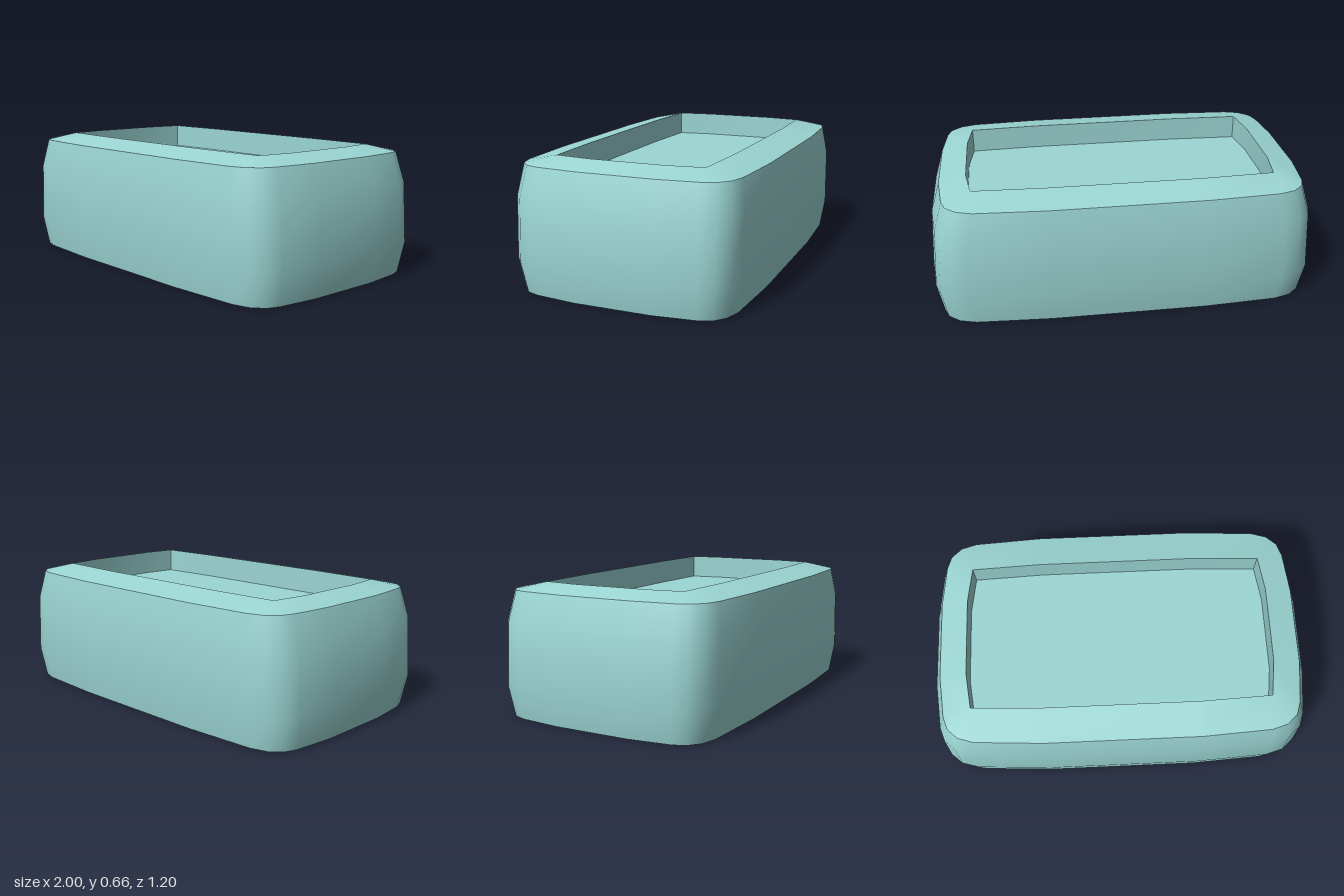
import * as THREE from 'three';
import { toCreasedNormals } from 'three/addons/utils/BufferGeometryUtils.js';

// Quarter outlines as [x, z], running from the +x side to the +z side
const outer = [[1, 0.2], [0.975, 0.43], [0.95, 0.5], [0.89, 0.552], [0.8, 0.578], [0.4, 0.6]];
const corner = [0.765, 0.385];
const inner = [[0.79, 0.2], corner, corner, corner, corner, [0.4, 0.4]];

// Mirror a quarter outline into a closed ring at height y
function ring(quarter, y) {
  const back = [...quarter].reverse();
  const place = (points, sx, sz) => points.map(([x, z]) => new THREE.Vector3(x * sx, y, z * sz));
  return [...place(quarter, 1, 1), ...place(back, -1, 1), ...place(quarter, -1, -1), ...place(back, 1, -1)];
}

// Pull the ends and sides of the outer outline inwards
function inset(dx, dz) {
  return outer.map(([x, z]) => [x - dx * (x - 0.4) / 0.6, z - dz * (z - 0.2) / 0.4]);
}

// Join successive rings, skipping collapsed triangles
function skin(rings) {
  const positions = [];
  const triangle = (a, b, c) => {
    if (a.equals(b) || b.equals(c) || c.equals(a)) return;
    for (const p of [a, b, c]) positions.push(p.x, p.y, p.z);
  };
  for (let r = 0; r < rings.length - 1; r++) {
    const low = rings[r], high = rings[r + 1], n = low.length;
    for (let i = 0; i < n; i++) {
      const j = (i + 1) % n;
      triangle(low[i], high[i], low[j]);
      triangle(low[j], high[i], high[j]);
    }
  }
  const geometry = new THREE.BufferGeometry();
  geometry.setAttribute('position', new THREE.Float32BufferAttribute(positions, 3));
  return toCreasedNormals(geometry, 0.7);
}

export function createModel() {
  const group = new THREE.Group();
  group.name = 'recessedBlock';
  const material = new THREE.MeshStandardMaterial({ color: 0x9bd6d3 });
  const centre = outer.map(() => [0, 0]);

  // Underside, bulging walls and sloping rim
  const body = new THREE.Mesh(skin([
    ring(centre, 0),
    ring(inset(0.03, 0.025), 0),
    ring(outer, 0.16),
    ring(inset(0.022, 0), 0.47),
    ring(inset(0.07, 0.025), 0.625),
    ring(inner, 0.66),
  ]), material);
  body.name = 'body';

  // Shallow tray sunk into the top
  const recess = new THREE.Mesh(skin([
    ring(inner, 0.66),
    ring(inner, 0.53),
    ring(centre, 0.53),
  ]), material);
  recess.name = 'topRecess';

  group.add(body, recess);
  return group;
}
